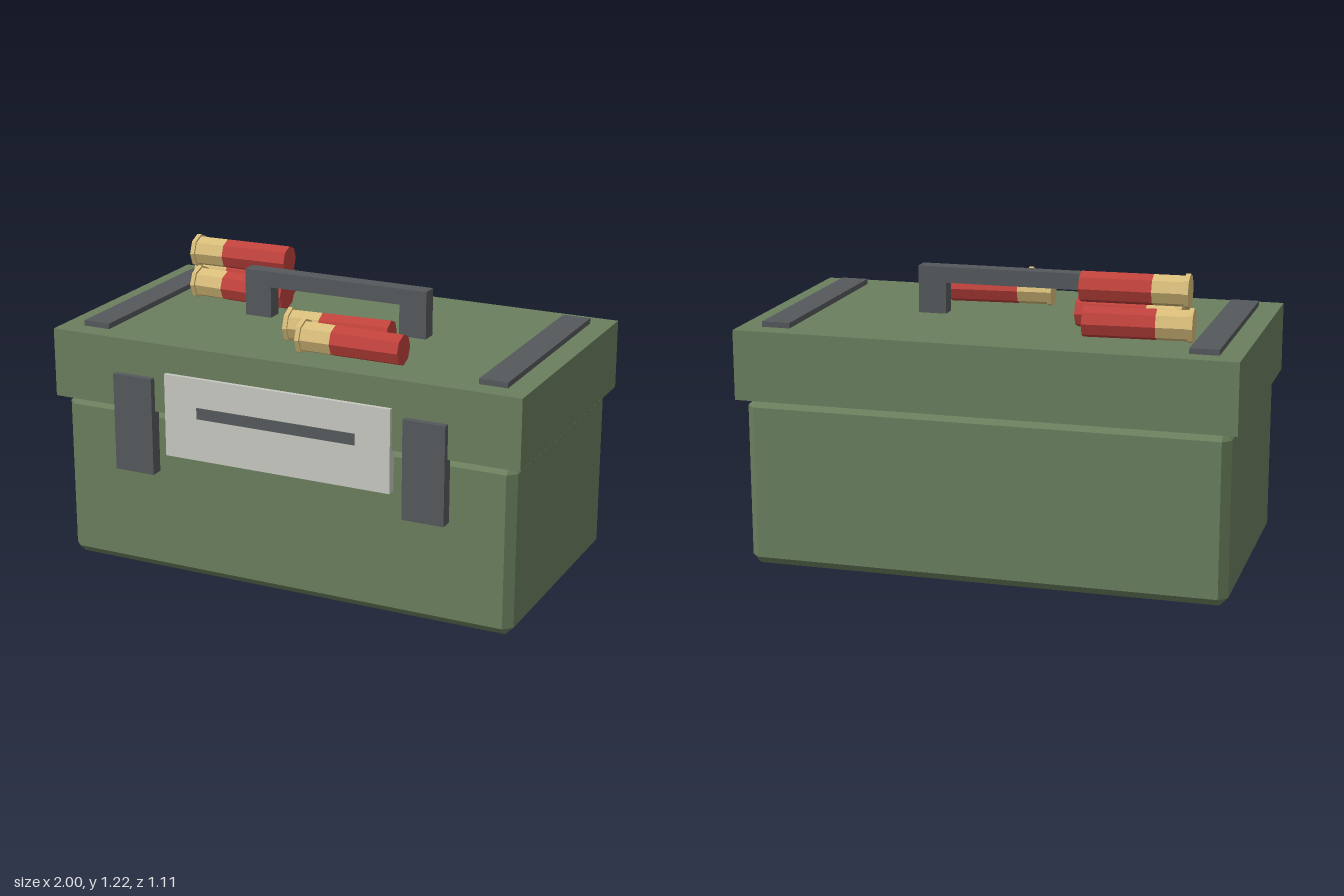
import * as THREE from 'three';
import { ConvexGeometry } from 'three/addons/geometries/ConvexGeometry.js';

const mat = (name, color) => {
  const m = new THREE.MeshStandardMaterial({ color });
  m.name = name;
  return m;
};

export function createModel() {
  const green = mat('olive green', 0x6a7f5e);
  const grey = mat('dark grey', 0x56595c);
  const pale = mat('pale label', 0xc8c9c1);
  const red = mat('shell red', 0xc0423c);
  const brass = mat('brass', 0xd8bd7a);
  const model = new THREE.Group();
  model.name = 'ammoBox';

  const add = (name, geometry, material, parent = model) => {
    const mesh = new THREE.Mesh(geometry, material);
    mesh.name = name;
    parent.add(mesh);
    return mesh;
  };
  // Box given by its extents on each axis
  const box = (name, material, [x0, x1], [y0, y1], [z0, z1], parent) => {
    const mesh = add(name, new THREE.BoxGeometry(x1 - x0, y1 - y0, z1 - z0), material, parent);
    mesh.position.set((x0 + x1) / 2, (y0 + y1) / 2, (z0 + z1) / 2);
    return mesh;
  };
  // Box with every edge chamfered by c
  const chamferBox = (w, h, d, c) => {
    const points = [];
    for (const x of [-1, 1]) for (const y of [-1, 1]) for (const z of [-1, 1]) {
      for (let axis = 0; axis < 3; axis++) {
        const inset = [c, c, c];
        inset[axis] = 0;
        points.push(new THREE.Vector3(
          x * (w / 2 - inset[0]), y * (h / 2 - inset[1]), z * (d / 2 - inset[2])));
      }
    }
    return new ConvexGeometry(points);
  };

  // Chamfered body and overhanging lid
  add('body', chamferBox(1.94, 0.69, 1.027, 0.034), green).position.set(0, 0.345, -0.0125);
  box('lid', green, [-1, 1], [0.69, 0.972], [-0.555, 0.527]);

  // Lid strips and front latches, mirrored
  for (const s of [-1, 1]) {
    const span = (a, b) => (s > 0 ? [a, b] : [-b, -a]);
    const side = s > 0 ? 'left' : 'right';
    box(side + 'LidStrip', grey, span(0.795, 0.91), [0.965, 0.994], [-0.47, 0.44]);
    box(side + 'Latch', grey, span(0.54, 0.712), [0.43, 0.83], [0.5, 0.554]);
  }

  // Carrying handle
  const grip = new THREE.Shape([
    [-0.4, 0.97], [-0.285, 0.97], [-0.285, 1.1], [0.285, 1.1],
    [0.285, 0.97], [0.4, 0.97], [0.4, 1.165], [-0.4, 1.165],
  ].map(([x, y]) => new THREE.Vector2(x, y)));
  add('handle', new THREE.ExtrudeGeometry(grip, { depth: 0.066, bevelEnabled: false }), grey)
    .position.z = -0.047;

  // Front label with a dark bar
  box('label', pale, [-0.485, 0.485], [0.52, 0.858], [0.505, 0.544]);
  box('labelBar', grey, [-0.34, 0.34], [0.695, 0.74], [0.542, 0.55]);

  // Octagonal cartridges, lying along x with the brass base at the low-x end
  const prism = (radius, from, to) => new THREE.CylinderGeometry(radius, radius, to - from, 8)
    .toNonIndexed().rotateZ(-Math.PI / 2).translate((from + to) / 2, 0, 0);
  const parts = [
    ['rim', prism(0.07, 0, 0.018), brass],
    ['brassBase', prism(0.061, 0.018, 0.143), brass],
    ['hull', prism(0.061, 0.143, 0.428), red],
  ];
  for (const [, geometry] of parts) geometry.computeVertexNormals();

  // Each row: base x, height, base z, tip z
  const cartridges = [
    [-0.775, 1.033, -0.27, -0.297],
    [-0.713, 1.033, -0.147, -0.126],
    [-0.745, 1.152, -0.2, -0.213],
    [-0.088, 1.033, 0.245, 0.212],
    [0.028, 1.033, 0.36, 0.36],
  ];
  cartridges.forEach(([x, y, zBase, zTip], i) => {
    const shell = new THREE.Group();
    shell.name = 'cartridge' + (i + 1);
    for (const [name, geometry, material] of parts) add(name, geometry, material, shell);
    shell.position.set(x, y, zBase);
    shell.rotation.y = -Math.asin((zTip - zBase) / 0.428);
    model.add(shell);
  });

  return model;
}
